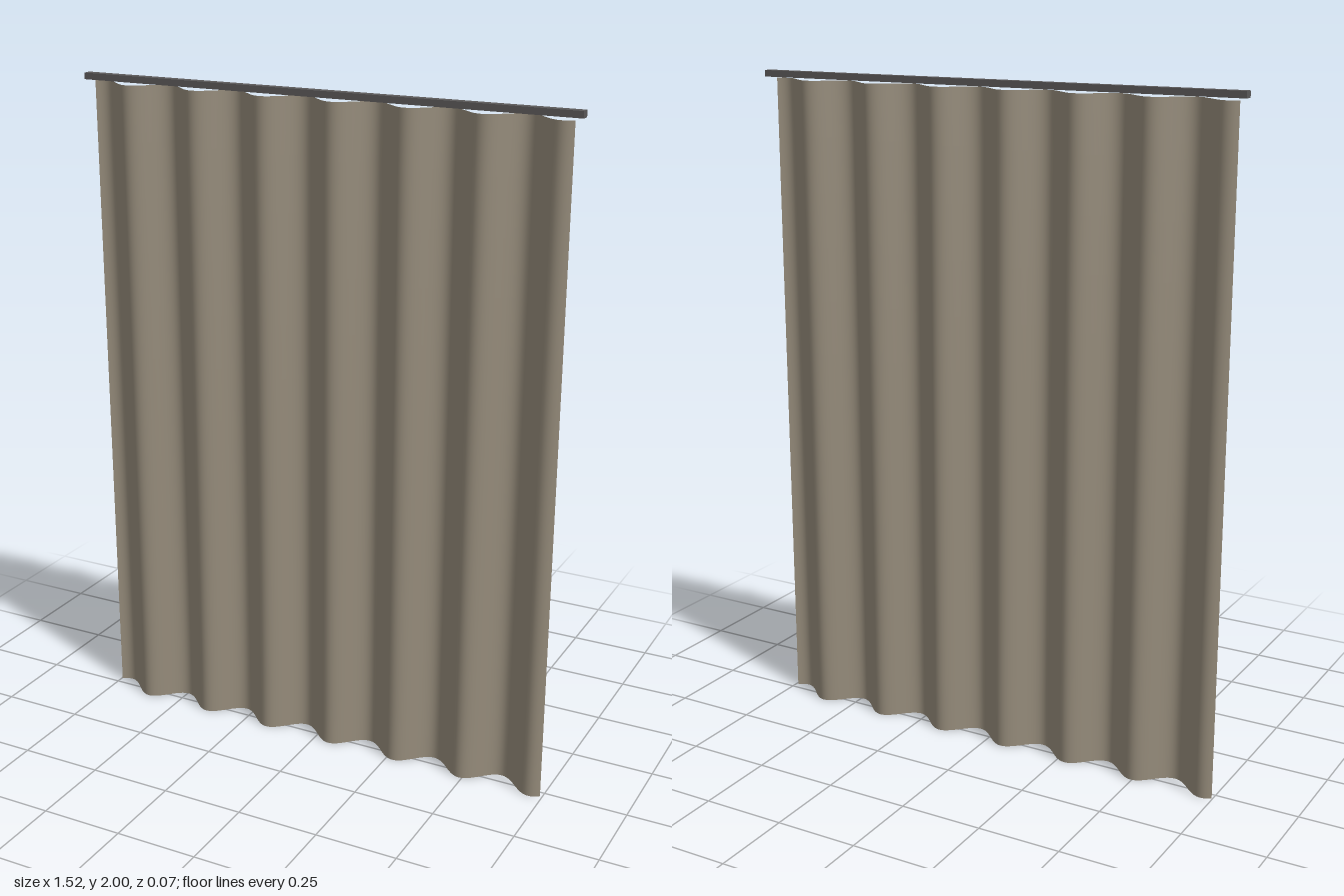
import * as THREE from 'three';

const fabric = new THREE.MeshStandardMaterial({ color: 0x978d7c, side: THREE.DoubleSide });
fabric.name = 'taupe fabric';
const metal = new THREE.MeshStandardMaterial({ color: 0x5a5858 });
metal.name = 'dark grey metal';

const WIDTH = 1.49, HEIGHT = 1.976, PERIOD = 0.2195, CENTRE_X = -0.002;

// Pleated cloth: a plane whose depth follows a sine wave, slightly fuller at the hem
function makeCurtain() {
  const geo = new THREE.PlaneGeometry(WIDTH, HEIGHT, 168, 12);
  geo.translate(CENTRE_X, HEIGHT / 2, 0);
  const pos = geo.attributes.position;
  for (let i = 0; i < pos.count; i++) {
    const depth = 0.035 - 0.003 * pos.getY(i) / HEIGHT;
    pos.setZ(i, depth * Math.sin(2 * Math.PI * (pos.getX(i) + 0.003) / PERIOD));
  }
  geo.computeVertexNormals();
  const mesh = new THREE.Mesh(geo, fabric);
  mesh.name = 'curtain';
  return mesh;
}

// Straight square rail above the cloth
function makeRail() {
  const mesh = new THREE.Mesh(new THREE.BoxGeometry(1.524, 0.019, 0.026), metal);
  mesh.position.set(0, 1.9905, -0.001);
  mesh.name = 'curtainRail';
  return mesh;
}

export function createModel() {
  const group = new THREE.Group();
  group.name = 'pleatedCurtain';
  group.add(makeCurtain(), makeRail());
  return group;
}
